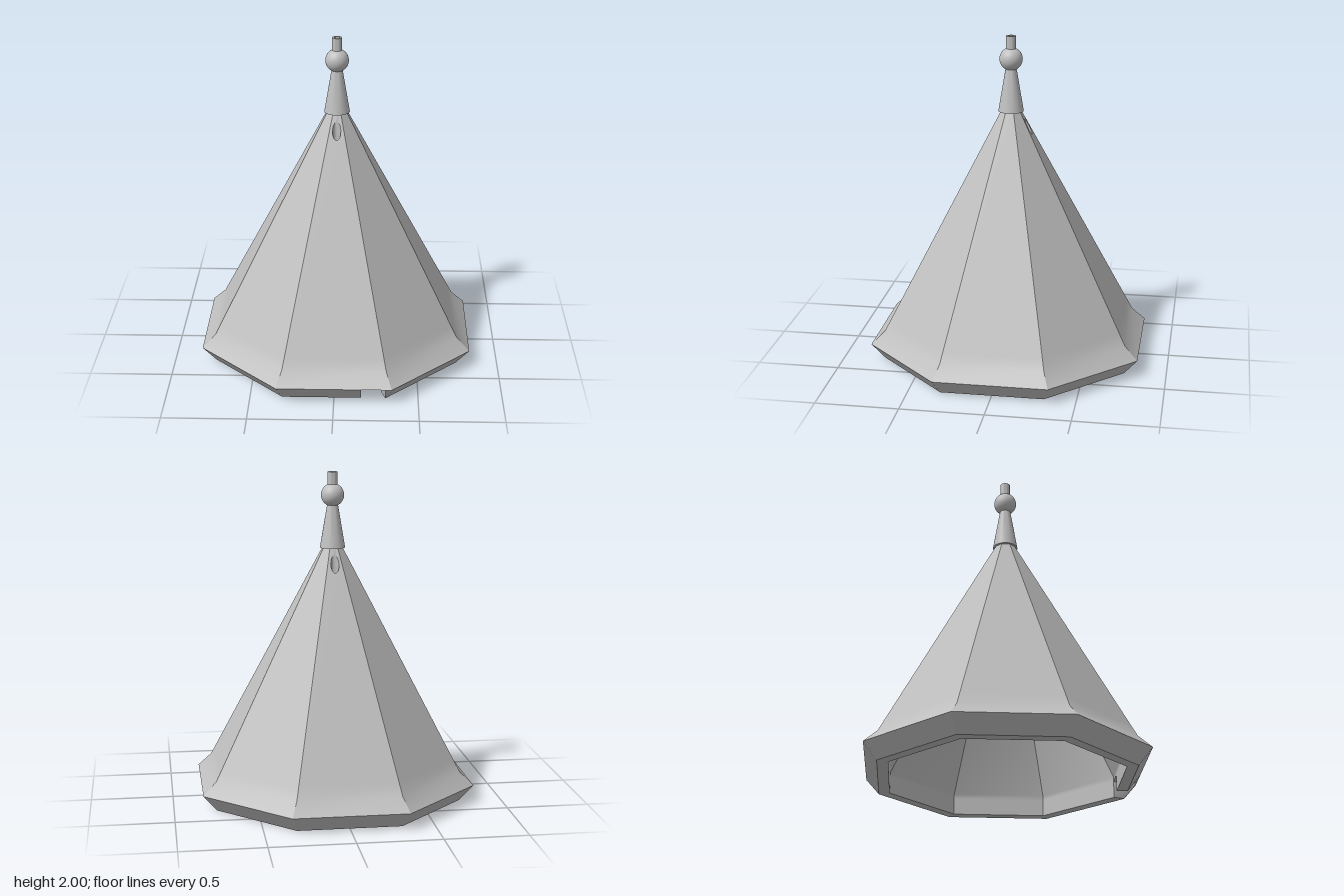
import * as THREE from 'three';
import { toCreasedNormals } from 'three/addons/utils/BufferGeometryUtils.js';

const T = Math.tan(Math.PI / 8); // half side length of an octagon per unit of apothem
const SLOPE = 0.504;
const HOLE = { r: 0.025, z: 0.105, n: 24 };
const NOTCH = [0.16, 0.305];

const outerY = z => 0.18 + (0.745 - z) / SLOPE;
const innerY = z => 0.13 + (0.68 - z) / SLOPE;

// Closed wall section as [apothem, y, kind of the band that starts here]
const SECTION = [
  [0.745, 0, 'notched'], [0.825, 0.1], [0.745, 0.18], [0.745 - 0.07 * SLOPE, 0.25, 'drilled'],
  [0.04, outerY(0.04)], [0.005, innerY(0.005), 'drilled'],
  [0.68, 0.13], [0.68, 0.1, 'notched'], [0.68, 0, 'notched'],
];

function makeGeometry(points) {
  const geometry = new THREE.BufferGeometry().setFromPoints(points);
  return toCreasedNormals(geometry, 0.5);
}

function shellGeometry() {
  const points = [];
  const up = new THREE.Vector3(0, 1, 0);
  const tri = (k, ...corners) => corners.forEach(c =>
    points.push(new THREE.Vector3(...c).applyAxisAngle(up, k * Math.PI / 4)));
  const quad = (k, a, b, c, d) => { tri(k, a, b, c); tri(k, a, c, d); };

  // A side panel pierced by the vertical drill hole
  function drilledPanel(k, [z0, y0], [z1, y1]) {
    const yAt = y0 < y1 ? outerY : innerY;
    const outline = [[-z0 * T, y0], [z0 * T, y0], [z1 * T, y1], [-z1 * T, y1]]
      .map(p => new THREE.Vector2(...p));
    const hole = [];
    for (let i = 0; i < HOLE.n; i++) {
      const a = i / HOLE.n * Math.PI * 2;
      hole.push(new THREE.Vector2(HOLE.r * Math.cos(a), yAt(HOLE.z + HOLE.r * Math.sin(a))));
    }
    const shape = new THREE.Shape(outline);
    shape.holes.push(new THREE.Path(hole));
    const flat = new THREE.ShapeGeometry(shape);
    const p = flat.attributes.position;
    const at = i => {
      const y = p.getY(i);
      return [p.getX(i), y, z0 + (z1 - z0) * (y - y0) / (y1 - y0)];
    };
    const index = flat.index.array;
    for (let i = 0; i < index.length; i += 3) {
      const t = [at(index[i]), at(index[i + 1]), at(index[i + 2])];
      if (y0 > y1) t.reverse(); // inner panels face inward
      tri(k, ...t);
    }
  }

  SECTION.forEach((a, i) => {
    const b = SECTION[(i + 1) % SECTION.length];
    const [z0, y0, kind] = a, [z1, y1] = b;
    const x0 = z0 * T, x1 = z1 * T;
    const strip = (k, l0, r0, l1, r1) =>
      quad(k, [l0, y0, z0], [r0, y0, z0], [r1, y1, z1], [l1, y1, z1]);
    for (let k = 0; k < 8; k++) {
      if (kind === 'drilled' && k % 4 === 0) drilledPanel(k, a, b);
      else if (kind === 'notched' && k === 0) {
        strip(k, -x0, NOTCH[0], -x1, NOTCH[0]);
        strip(k, Math.min(NOTCH[1], x0), x0, Math.min(NOTCH[1], x1), x1);
      } else strip(k, -x0, x0, -x1, x1);
    }
  });

  // Sides and ceiling of the cable notch
  const l = NOTCH[0], r = NOTCH[1], ri = 0.68 * T;
  quad(0, [l, 0, 0.68], [l, 0.1, 0.68], [l, 0.1, 0.825], [l, 0, 0.745]);
  quad(0, [ri, 0, 0.68], [r, 0, 0.745], [r, 0.1, 0.825], [ri, 0.1, 0.68]);
  quad(0, [l, 0.1, 0.68], [ri, 0.1, 0.68], [r, 0.1, 0.825], [l, 0.1, 0.825]);

  // Walls of the two drill holes
  for (const k of [0, 4]) {
    for (let i = 0; i < HOLE.n; i++) {
      const [p, q] = [i, i + 1].map(j => {
        const a = j / HOLE.n * Math.PI * 2;
        return [HOLE.r * Math.cos(a), HOLE.z + HOLE.r * Math.sin(a)];
      });
      quad(k, [p[0], innerY(p[1]), p[1]], [q[0], innerY(q[1]), q[1]],
        [q[0], outerY(q[1]), q[1]], [p[0], outerY(p[1]), p[1]]);
    }
  }
  return makeGeometry(points);
}

function lathe(profile) {
  const geometry = new THREE.LatheGeometry(profile.map(p => new THREE.Vector2(...p)), 40);
  return toCreasedNormals(geometry, 0.6);
}

export function createModel() {
  const model = new THREE.Group();
  const grey = new THREE.MeshStandardMaterial({ color: 0xbfbfbf });
  grey.name = 'grey';
  const add = (name, geometry) => {
    const mesh = new THREE.Mesh(geometry, grey);
    mesh.name = name;
    model.add(mesh);
    return mesh;
  };

  add('octagonalShade', shellGeometry());
  add('collarCone', lathe([[0.03, 1.54], [0.077, 1.54], [0.03, 1.82]]));
  add('ball', new THREE.SphereGeometry(0.07, 40, 24)).position.y = 1.86;
  // Hollow tube at the tip
  add('tipTube', lathe([[0.03, 1.9], [0.03, 2], [0.018, 2], [0.018, 1.935], [0, 1.935]]));
  return model;
}
